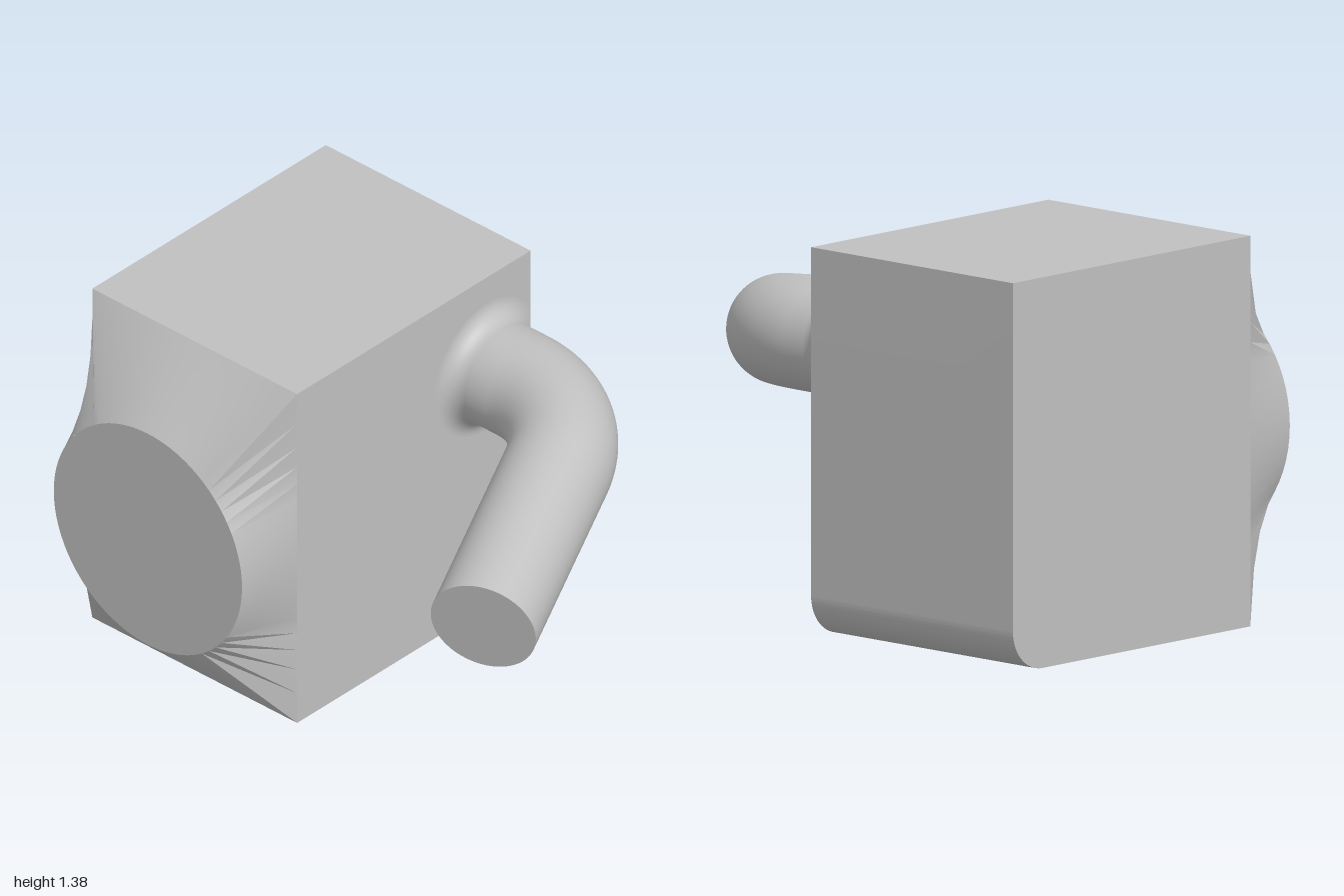
import * as THREE from 'three';
import { toCreasedNormals } from 'three/addons/utils/BufferGeometryUtils.js';

const X0 = -0.48, X1 = 0.715, H = 1.375, BACK = -1, FRONT = -0.04;
const PIPE_R = 0.192;

// Block with one rounded lower edge
function blockGeometry() {
  const r = 0.15;
  const s = new THREE.Shape();
  s.moveTo(X0, 0);
  s.lineTo(X1 - r, 0);
  s.absarc(X1 - r, r, r, -Math.PI / 2, 0, false);
  s.lineTo(X1, H);
  s.lineTo(X0, H);
  s.closePath();
  const g = new THREE.ExtrudeGeometry(s, { depth: FRONT - BACK, bevelEnabled: false, curveSegments: 20 });
  g.translate(0, 0, BACK);
  return toCreasedNormals(g, 0.5);
}

// Ruled transition from the rectangular side of the block to a round end
const LOFT = { x: -0.72, y: 0.668, z: -0.52, r: 0.441 };
function loftGeometry() {
  const hz = (FRONT - BACK) / 2, hy = H / 2, c = Math.atan2(hy, hz);
  const corners = [-c, c, Math.PI - c, Math.PI + c, 2 * Math.PI - c];
  const steps = 20, pos = [], idx = [];
  for (let side = 0; side < 4; side++) {
    for (let i = 0; i < steps; i++) {
      const a = THREE.MathUtils.lerp(corners[side], corners[side + 1], i / steps);
      const cz = Math.cos(a), sy = Math.sin(a);
      const d = Math.min(hz / Math.abs(cz), hy / Math.abs(sy));
      pos.push(X0, hy + sy * d, LOFT.z + cz * d);
      pos.push(LOFT.x, LOFT.y + sy * LOFT.r, LOFT.z + cz * LOFT.r);
    }
  }
  const n = steps * 4;
  for (let i = 0; i < n; i++) {
    const a = 2 * i, b = 2 * ((i + 1) % n);
    idx.push(a, b, a + 1, b, b + 1, a + 1);
  }
  const g = new THREE.BufferGeometry();
  g.setAttribute('position', new THREE.Float32BufferAttribute(pos, 3));
  g.setIndex(idx);
  return toCreasedNormals(g, 0.5);
}

// Concave flare where the pipe meets the block, narrowed beside the block's edge
function flareGeometry(center) {
  const f = 0.07, pts = [];
  for (let i = 0; i <= 12; i++) {
    const a = (i / 12) * Math.PI / 2;
    pts.push(new THREE.Vector2(PIPE_R + f * (1 - Math.sin(a)), f * (1 - Math.cos(a))));
  }
  const g = new THREE.LatheGeometry(pts, 64);
  g.rotateX(Math.PI / 2);
  const p = g.attributes.position;
  for (let i = 0; i < p.count; i++) {
    const x = p.getX(i), y = p.getY(i), r = Math.hypot(x, y), cos = x / r;
    const reach = cos > 0 ? Math.min(PIPE_R + f, (X1 - center.x) / cos) : PIPE_R + f;
    const k = (PIPE_R + (r - PIPE_R) * (reach - PIPE_R) / f) / r;
    p.setXY(i, x * k, y * k);
  }
  g.translate(center.x, center.y, FRONT);
  return g;
}

export function createModel() {
  const group = new THREE.Group();
  const grey = new THREE.MeshStandardMaterial({ color: 0xc0c0c0 });
  grey.name = 'grey';
  const add = (name, geometry) => {
    const mesh = new THREE.Mesh(geometry, grey);
    mesh.name = name;
    group.add(mesh);
    return mesh;
  };

  add('block', blockGeometry());
  add('sideTransition', loftGeometry());
  const cap = add('sideTransitionEnd', new THREE.CircleGeometry(LOFT.r, 80));
  cap.rotation.y = -Math.PI / 2;
  cap.position.set(LOFT.x, LOFT.y, LOFT.z);

  // Pipe: straight out of the front, one circular bend, straight to the end
  const start = new THREE.Vector3(0.488, 1.003, FRONT);
  const knee = new THREE.Vector3(0.488, 1.003, 0.41);
  const end = new THREE.Vector3(-0.467, 0.793, 0.82);
  const out = new THREE.Vector3(0, 0, 1);
  const dir = end.clone().sub(knee).normalize();
  const L = 0.28, inner = L * (1 - 0.604);
  const at = (v, t) => knee.clone().addScaledVector(v, t);
  const path = new THREE.CurvePath();
  path.add(new THREE.LineCurve3(start, at(out, -L)));
  path.add(new THREE.CubicBezierCurve3(at(out, -L), at(out, -inner), at(dir, inner), at(dir, L)));
  path.add(new THREE.LineCurve3(at(dir, L), end));
  add('pipe', new THREE.TubeGeometry(path, 100, PIPE_R, 64, false));
  add('pipeFlare', flareGeometry(start));
  const pipeEnd = add('pipeEnd', new THREE.CircleGeometry(PIPE_R, 64));
  pipeEnd.quaternion.setFromUnitVectors(out, dir);
  pipeEnd.position.copy(end);

  return group;
}
